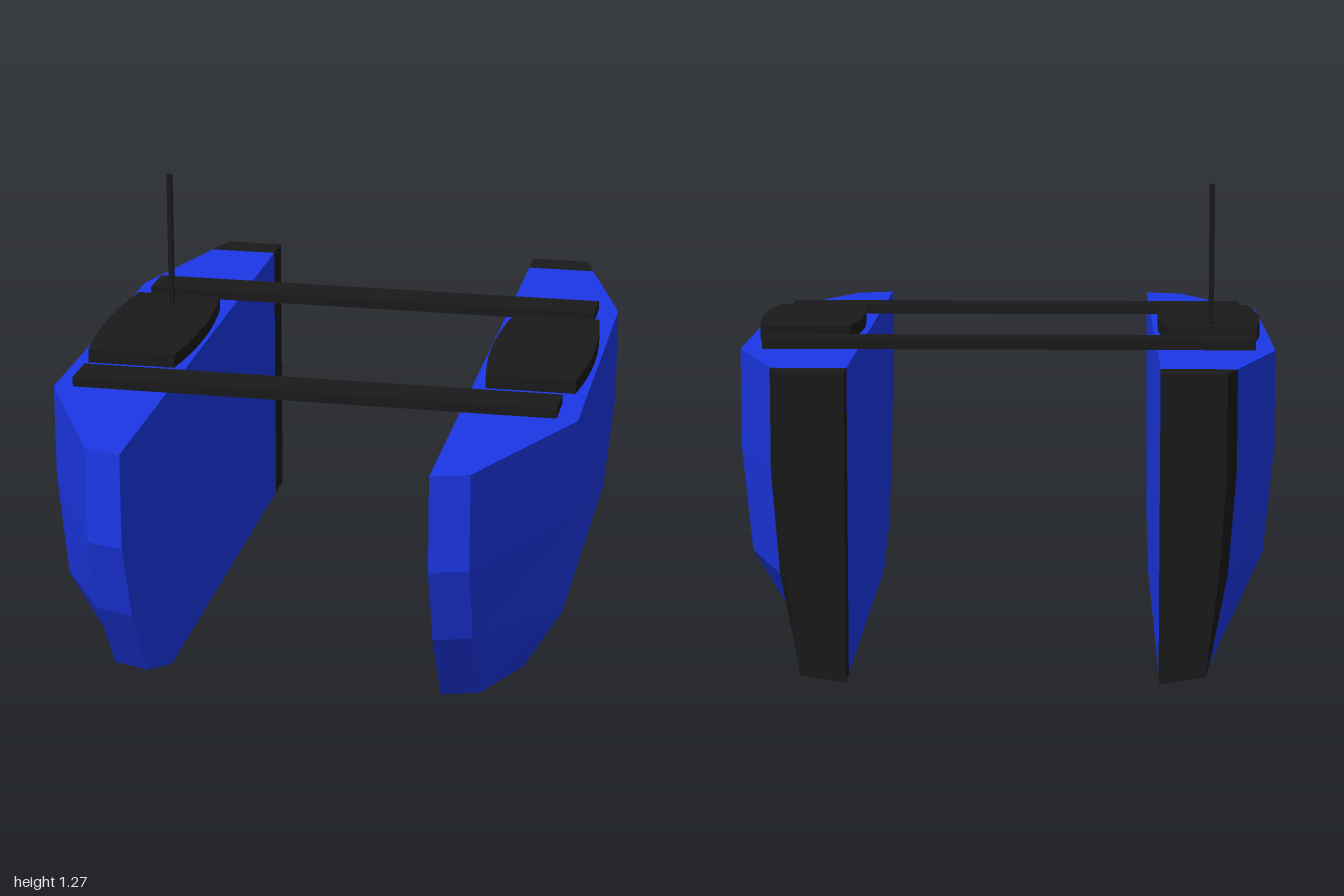
import * as THREE from 'three';

const DECK = 0.833;
const INNER = 0.418;

// Hull sections as [x, y, z]: deck, upper side, bilge, chine, keel, inner deck
const section = (z, deck, side, bilge, chine) =>
  [[deck, DECK], side, bilge, chine, [INNER, 0], [INNER, DECK]].map(([x, y]) => [x, y, z]);

const stern = section(-1, 0.592, [0.592, 0.56], [0.572, 0.278], [0.54, 0.018]);
const aft = section(-0.5, 0.747, [0.747, 0.56], [0.718, 0.262], [0.612, 0.083]);
const fore = section(0.5, 0.747, [0.747, 0.56], [0.718, 0.262], [0.612, 0.083]);
const split = stern.map((p, i) => p.map((v, k) => v + (aft[i][k] - v) * 0.2));

// Bow: a narrow raked face between the inner stem and its outer edge
const stem = [[DECK, 1], [0.56, 1], [0.33, 0.917], [0.1, 0.766]].map(([y, z]) => [INNER, y, z]);
const stemEdge = stem.map(([, y, z]) => [0.523, y, z - 0.033]);
const bow = [...stemEdge, stem[3], stem[0]];

// Flat-shaded mesh from polygons; side -1 mirrors it in x
function facets(polygons, side) {
  const positions = [];
  for (const polygon of polygons) {
    const corners = side > 0 ? polygon : [...polygon].reverse();
    for (let i = 1; i < corners.length - 1; i++) {
      for (const [x, y, z] of [corners[0], corners[i], corners[i + 1]]) positions.push(x * side, y, z);
    }
  }
  const geometry = new THREE.BufferGeometry();
  geometry.setAttribute('position', new THREE.Float32BufferAttribute(positions, 3));
  geometry.computeVertexNormals();
  return geometry;
}

// Skin between two neighbouring sections, back to front
const skin = (a, b) => a.map((p, i) => {
  const j = (i + 1) % a.length;
  return [p, b[i], b[j], a[j]];
});

export function createModel() {
  const group = new THREE.Group();
  const blue = new THREE.MeshStandardMaterial({ color: 0x1c38ea });
  blue.name = 'hull blue';
  const black = new THREE.MeshStandardMaterial({ color: 0x1a1a1a });
  black.name = 'matte black';

  const add = (name, geometry, material, x = 0, y = 0, z = 0) => {
    const mesh = new THREE.Mesh(geometry, material);
    mesh.name = name;
    mesh.position.set(x, y, z);
    group.add(mesh);
  };

  // Hull skin, raked bow face and the inner stem panel
  const hull = [...skin(split, aft), ...skin(aft, fore), ...skin(fore, bow)];
  for (let i = 0; i < 3; i++) hull.push([stem[i], stem[i + 1], stemEdge[i + 1], stemEdge[i]]);
  hull.push([...stem].reverse());
  const sternBlock = [...skin(stern, split), stern];

  // Hatch outline with gently bowed long sides
  const outline = new THREE.Shape();
  outline.moveTo(-0.128, -0.283);
  outline.lineTo(0.128, -0.283);
  outline.quadraticCurveTo(0.17, 0, 0.128, 0.283);
  outline.lineTo(-0.128, 0.283);
  outline.quadraticCurveTo(-0.17, 0, -0.128, -0.283);
  const hatch = new THREE.ExtrudeGeometry(outline, { depth: 0.04, bevelEnabled: false, curveSegments: 8 });
  hatch.rotateX(-Math.PI / 2);

  // Mirrored hulls and stern blocks, each with its hatch
  for (const [side, label, hatchX] of [[1, 'left', 0.585], [-1, 'right', -0.579]]) {
    add(`${label}Hull`, facets(hull, side), blue);
    add(`${label}SternBlock`, facets(sternBlock, side), black);
    add(`${label}Hatch`, hatch, black, hatchX, DECK - 0.001, -0.003);
  }

  // Cross beams
  const beam = new THREE.BoxGeometry(1.38, 0.028, 0.122);
  add('frontBeam', beam, black, -0.003, 0.847, 0.432);
  add('rearBeam', beam, black, -0.003, 0.847, -0.441);

  // Antenna on the right hatch
  add('antenna', new THREE.BoxGeometry(0.015, 0.42, 0.015), black, -0.58, 1.065, -0.2);
  return group;
}
